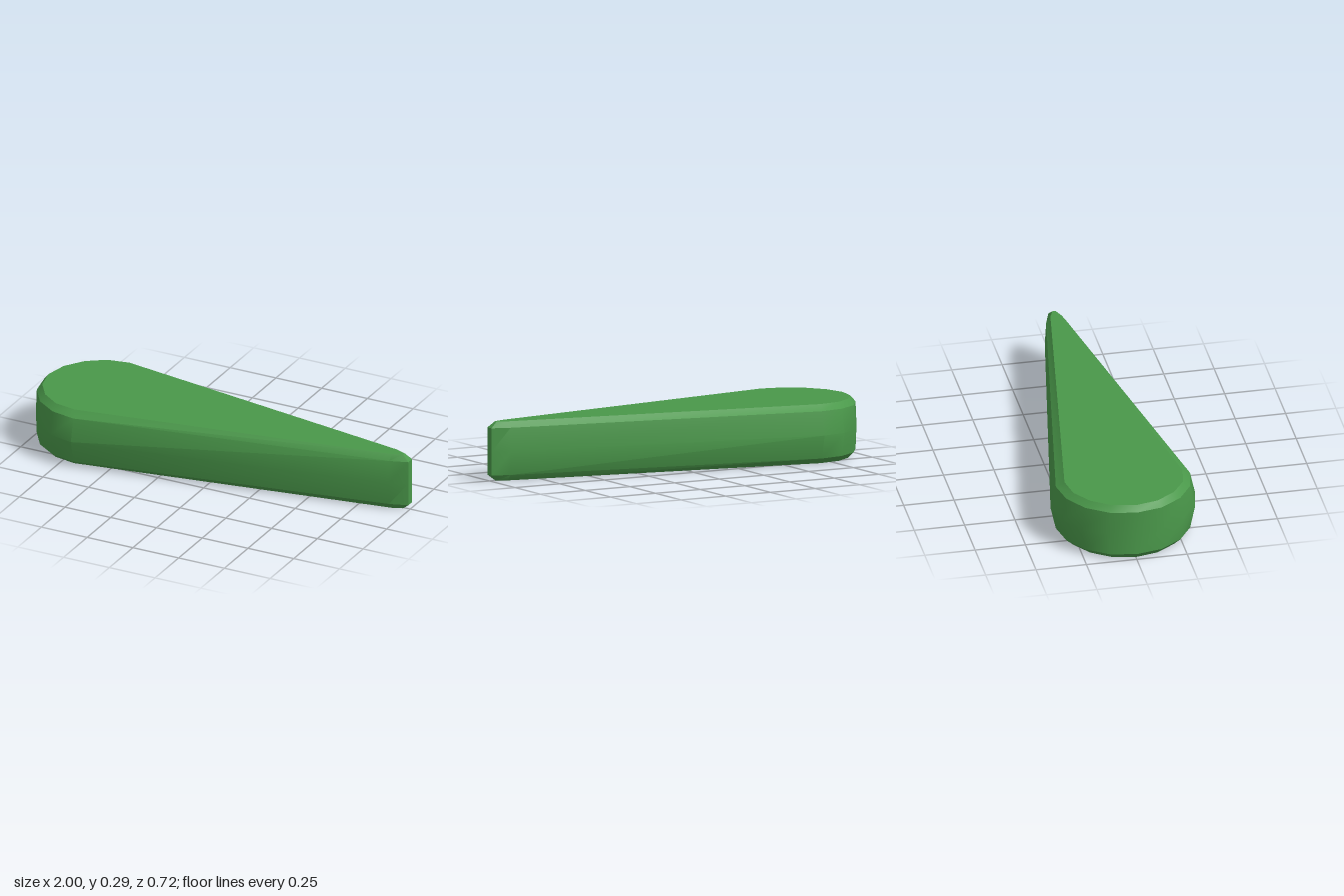
import * as THREE from 'three';
import { toCreasedNormals } from 'three/addons/utils/BufferGeometryUtils.js';

// Half outlines [x, z], from the round end to the narrow tip
const waist = [[-1, 0], [-0.975, 0.138], [-0.902, 0.255], [-0.797, 0.332], [-0.67, 0.359], [0.91, 0.057], [1, 0.02]];
const shoulder = [[-1, 0], [-0.975, 0.128], [-0.902, 0.236], [-0.797, 0.307], [-0.67, 0.333], [0.91, 0.05], [1, 0.02]];
const face = [[-0.977, 0], [-0.953, 0.113], [-0.888, 0.208], [-0.797, 0.272], [-0.685, 0.293], [0.915, 0.028], [0.965, 0.008]];

// Closed ring at height y, mirrored across z = 0
function ring(half, y) {
  const front = half.map(([x, z]) => [x, y, z]);
  const back = half.slice(1).reverse().map(([x, z]) => [x, y, -z]);
  return [...front, ...back];
}

function wedgeGeometry() {
  const rings = [ring(face, 0), ring(shoulder, 0.029), ring(waist, 0.145), ring(shoulder, 0.261), ring(face, 0.29)];
  const n = rings[0].length;
  const positions = [];
  const tri = (a, b, c) => positions.push(...a, ...b, ...c);

  // Bevels and bulging side walls
  for (let r = 0; r < rings.length - 1; r++) {
    const lower = rings[r], upper = rings[r + 1];
    for (let i = 0; i < n; i++) {
      const j = (i + 1) % n;
      tri(lower[i], lower[j], upper[j]);
      tri(lower[i], upper[j], upper[i]);
    }
  }
  // Flat bottom and top
  const bottom = rings[0], top = rings[rings.length - 1];
  for (let i = 1; i < n - 1; i++) {
    tri(bottom[0], bottom[i + 1], bottom[i]);
    tri(top[0], top[i], top[i + 1]);
  }

  const geometry = new THREE.BufferGeometry();
  geometry.setAttribute('position', new THREE.Float32BufferAttribute(positions, 3));
  return toCreasedNormals(geometry, THREE.MathUtils.degToRad(32));
}

export function createModel() {
  const green = new THREE.MeshStandardMaterial({ color: 0x4a984a });
  green.name = 'green';

  const group = new THREE.Group();
  group.name = 'taperedBlade';
  const blade = new THREE.Mesh(wedgeGeometry(), green);
  blade.name = 'bladeBody';
  group.add(blade);
  return group;
}
